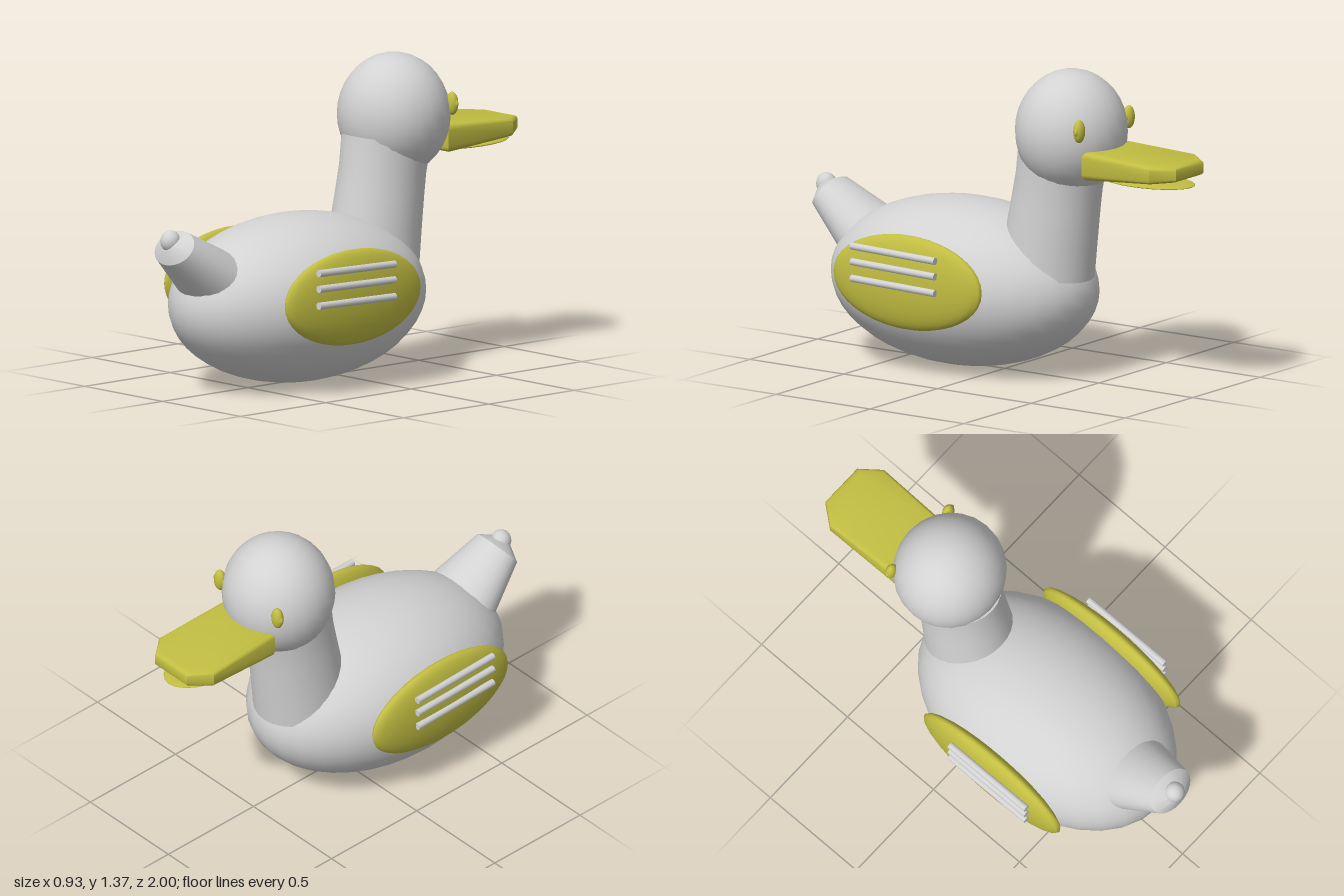
import * as THREE from 'three';
import { toCreasedNormals } from 'three/addons/utils/BufferGeometryUtils.js';

const plumage = new THREE.MeshStandardMaterial({ color: 0xd2d2d2 });
plumage.name = 'pale grey';
const yellow = new THREE.MeshStandardMaterial({ color: 0xc2be42 });
yellow.name = 'yellow';

function add(parent, name, geometry, material, x = 0, y = 0, z = 0) {
  const mesh = new THREE.Mesh(geometry, material);
  mesh.name = name;
  mesh.position.set(x, y, z);
  parent.add(mesh);
  return mesh;
}

function ellipsoid(rx, ry, rz, w = 24, h = 18) {
  return new THREE.SphereGeometry(1, w, h).scale(rx, ry, rz);
}

// Lathe from [radius, height] pairs, flattened in x or widened
function turned(pairs, xScale) {
  const lathe = new THREE.LatheGeometry(pairs.map(([r, h]) => new THREE.Vector2(r, h)), 28);
  return toCreasedNormals(lathe.scale(xScale, 1, 1), 0.6);
}

// Bevelled slab with a chamfered tip, thinning towards the front (-z)
function upperBill() {
  const b = 0.025;
  const half = [[0.14, 0.55], [0.15, 0.885], [0.09, 0.96]];
  const outline = [...half, ...half.map(([x, f]) => [-x, f]).reverse()];
  const shape = new THREE.Shape(outline.map(([x, f]) => new THREE.Vector2(x, f)));
  const geo = new THREE.ExtrudeGeometry(shape, {
    depth: 0.07, bevelEnabled: true, bevelSize: b, bevelThickness: b, bevelSegments: 4,
  }).rotateX(-Math.PI / 2);
  const p = geo.attributes.position;
  for (let i = 0; i < p.count; i++) {
    const t = (-p.getZ(i) - 0.525) / 0.455;
    const k = (p.getY(i) + b) / (0.07 + 2 * b);
    p.setY(i, THREE.MathUtils.lerp(0.932 + 0.038 * t, 1.06 - 0.022 * t, k));
  }
  geo.computeVertexNormals();
  return toCreasedNormals(geo, 0.7);
}

export function createModel() {
  const duck = new THREE.Group();
  duck.name = 'duck';

  add(duck, 'body', ellipsoid(0.43, 0.367, 0.648, 32, 24), plumage, 0, 0.371, 0.2125);
  add(duck, 'head', ellipsoid(0.25, 0.27, 0.244), plumage, 0, 1.106, -0.354);

  // Neck leaning forward
  const neck = add(duck, 'neck', turned(
    [[0, 0], [0.215, 0], [0.207, 0.15], [0.2, 0.3], [0.197, 0.4], [0.202, 0.53], [0, 0.53]], 0.92,
  ), plumage, 0, 0.48, -0.225);
  neck.rotation.x = -0.16;

  // Tail: wide tapered stub with a blunt tip
  const tail = add(duck, 'tail', turned(
    [[0, -0.15], [0.14, -0.15], [0.128, 0], [0.086, 0.225], [0.03, 0.27], [0, 0.275]], 1.33,
  ), plumage, 0, 0.535, 0.75);
  tail.rotation.x = 0.93;
  add(duck, 'tailTip', ellipsoid(0.045, 0.048, 0.045, 16, 12), plumage, 0, 0.702, 0.953);

  // Bill
  add(duck, 'upperBill', upperBill(), yellow);
  add(duck, 'lowerBill', ellipsoid(0.135, 0.014, 0.235), yellow, 0, 0.935, -0.762);

  // Wings with feather bars, and eyes
  for (const [side, s] of [['left', 1], ['right', -1]]) {
    const wing = new THREE.Group();
    wing.name = side + 'Wing';
    duck.add(wing);
    add(wing, 'wingPad', ellipsoid(0.06, 0.209, 0.395, 28, 20), yellow, s * 0.388, 0.424, 0.24);
    for (const y of [0.558, 0.489, 0.415]) {
      const bar = new THREE.CylinderGeometry(0.016, 0.016, 0.445, 12).rotateX(Math.PI / 2);
      add(wing, 'featherBar', bar, plumage, s * 0.449, y, 0.272).rotation.x = -0.025;
    }

    const eye = new THREE.Group();
    eye.name = side + 'Eye';
    eye.position.set(s * 0.184, 1.155, -0.528);
    duck.add(eye);
    add(eye, 'eyeRim', ellipsoid(0.03, 0.051, 0.024, 20, 14), yellow);
    add(eye, 'eyeCentre', ellipsoid(0.036, 0.028, 0.015, 16, 12), yellow, 0, 0, -0.002);
  }
  return duck;
}
